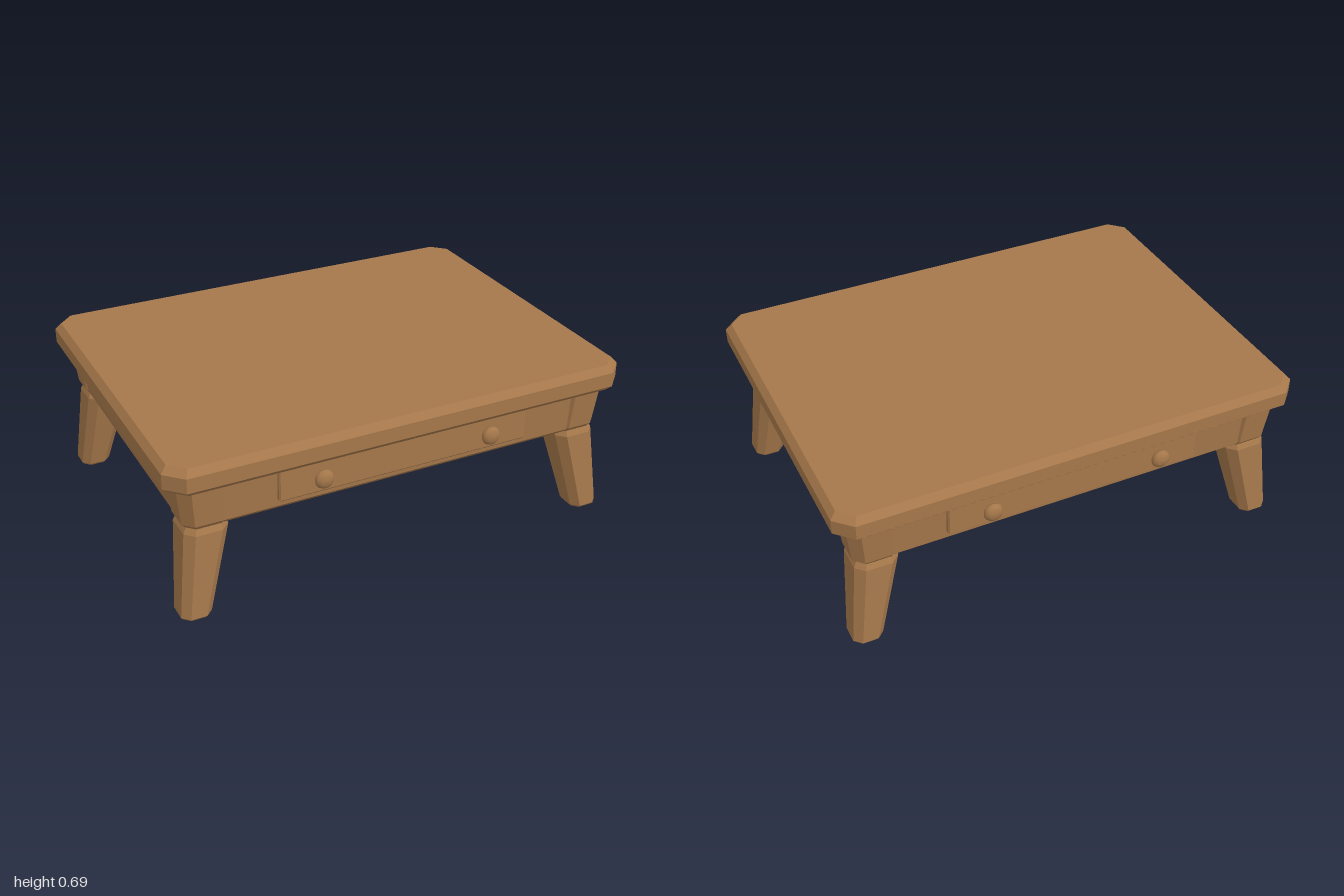
import * as THREE from 'three';

const wood = new THREE.MeshStandardMaterial({ color: 0xa6784b });
wood.name = 'warm wood';

// Closed solid through octagonal (corner-cut) rectangles: [y, x0, x1, z0, z1, cut], bottom to top
function chamferLoft(name, sections) {
  const rings = sections.map(([y, x0, x1, z0, z1, c]) => [
    [x0 + c, y, z1], [x1 - c, y, z1], [x1, y, z1 - c], [x1, y, z0 + c],
    [x1 - c, y, z0], [x0 + c, y, z0], [x0, y, z0 + c], [x0, y, z1 - c],
  ]);
  const pos = [];
  const tri = (a, b, c) => pos.push(...a, ...b, ...c);
  for (let i = 0; i < rings.length - 1; i++) {
    for (let j = 0; j < 8; j++) {
      const k = (j + 1) % 8;
      tri(rings[i][j], rings[i][k], rings[i + 1][k]);
      tri(rings[i][j], rings[i + 1][k], rings[i + 1][j]);
    }
  }
  const low = rings[0], high = rings[rings.length - 1];
  for (let j = 1; j < 7; j++) {
    tri(low[0], low[j + 1], low[j]);
    tri(high[0], high[j], high[j + 1]);
  }
  const geo = new THREE.BufferGeometry();
  geo.setAttribute('position', new THREE.Float32BufferAttribute(pos, 3));
  geo.computeVertexNormals(); // unshared corners give flat faces
  const mesh = new THREE.Mesh(geo, wood);
  mesh.name = name;
  return mesh;
}

export function createModel() {
  const table = new THREE.Group();
  table.name = 'lowTable';

  // Table top with bevelled rims and cut corners
  const slab = (y, inset, cut) => [y, inset - 1, 1 - inset, inset - 0.745, 0.745 - inset, cut];
  table.add(chamferLoft('tableTop', [
    slab(0.575, 0.025, 0.06), slab(0.6, 0, 0.07), slab(0.662, 0, 0.07), slab(0.69, 0.025, 0.06),
  ]));

  // Corner posts and splayed legs
  for (const sx of [-1, 1]) {
    for (const sz of [-1, 1]) {
      const sec = (y, xi, xo, zi, zo, c) => [
        y, Math.min(sx * xi, sx * xo), Math.max(sx * xi, sx * xo),
        Math.min(sz * zi, sz * zo), Math.max(sz * zi, sz * zo), c,
      ];
      const corner = new THREE.Group();
      corner.name = (sz > 0 ? 'front' : 'back') + (sx > 0 ? 'Left' : 'Right') + 'Corner';
      corner.add(chamferLoft('post', [
        sec(0.384, 0.745, 0.905, 0.505, 0.667, 0.03),
        sec(0.408, 0.74, 0.926, 0.5, 0.685, 0.04),
        sec(0.58, 0.74, 0.945, 0.495, 0.703, 0.045),
      ]));
      corner.add(chamferLoft('leg', [
        sec(0, 0.842, 0.953, 0.578, 0.698, 0.025),
        sec(0.01, 0.835, 0.961, 0.57, 0.706, 0.03),
        sec(0.365, 0.741, 0.921, 0.498, 0.683, 0.036),
        sec(0.39, 0.748, 0.908, 0.506, 0.67, 0.03),
      ]));
      table.add(corner);
    }
  }

  // Apron boards with a bevelled lower edge
  for (const s of [-1, 1]) {
    const span = (a, b) => [Math.min(s * a, s * b), Math.max(s * a, s * b)];
    table.add(chamferLoft(s > 0 ? 'frontApron' : 'backApron', [
      [0.384, -0.84, 0.84, ...span(0.585, 0.66), 0.002],
      [0.402, -0.84, 0.84, ...span(0.57, 0.677), 0.002],
      [0.58, -0.84, 0.84, ...span(0.57, 0.69), 0.002],
    ]));
    table.add(chamferLoft(s > 0 ? 'leftApron' : 'rightApron', [
      [0.384, ...span(0.825, 0.9), -0.6, 0.6, 0.002],
      [0.402, ...span(0.81, 0.917), -0.6, 0.6, 0.002],
      [0.58, ...span(0.81, 0.932), -0.6, 0.6, 0.002],
    ]));
  }

  // Drawer face with two round knobs, on the front and the back
  const knobProfile = [[0, -0.03], [0.022, -0.03], [0.022, 0.005], [0.036, 0.012],
    [0.04, 0.022], [0.034, 0.034], [0.02, 0.041], [0, 0.043]]
    .map(([r, h]) => new THREE.Vector2(r, h));
  const knobGeo = new THREE.LatheGeometry(knobProfile, 20);
  knobGeo.rotateX(Math.PI / 2);
  for (const side of ['front', 'back']) {
    const drawer = new THREE.Group();
    drawer.name = side + 'Drawer';
    drawer.add(chamferLoft('drawerFace', [
      [0.43, -0.545, 0.54, 0.64, 0.694, 0.004],
      [0.437, -0.552, 0.546, 0.64, 0.701, 0.006],
      [0.57, -0.552, 0.546, 0.64, 0.701, 0.006],
      [0.576, -0.545, 0.54, 0.64, 0.694, 0.004],
    ]));
    for (const x of [-0.373, 0.367]) {
      const knob = new THREE.Mesh(knobGeo, wood);
      knob.name = 'knob';
      knob.position.set(x, 0.497, 0.698);
      drawer.add(knob);
    }
    if (side === 'back') drawer.rotation.y = Math.PI;
    table.add(drawer);
  }
  return table;
}
